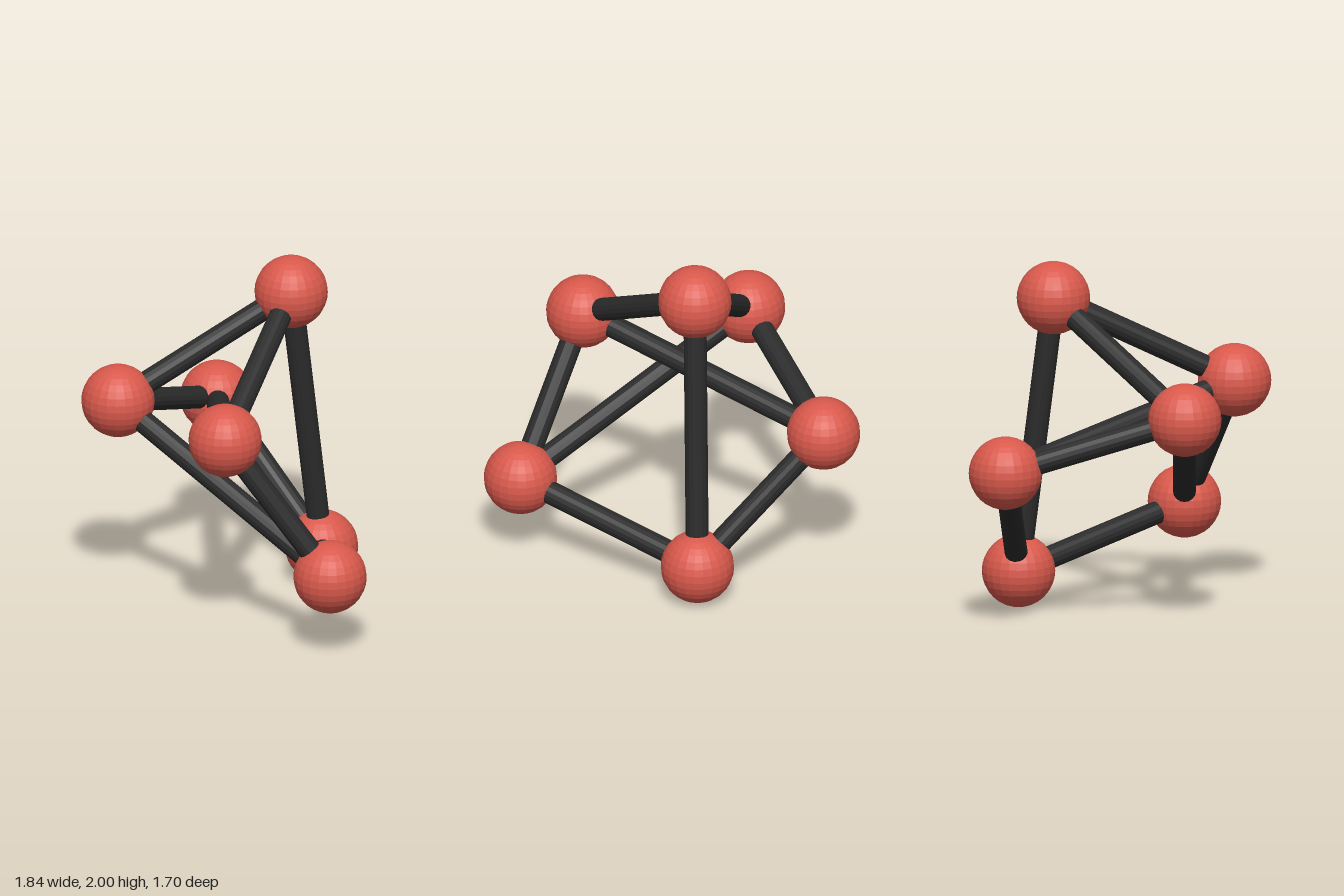
import * as THREE from 'three';

const BALL_RADIUS = 0.207;
const ROD_RADIUS = 0.065;

// Ball centres
const nodes = {
  top: [-0.037, 1.793, -0.376],
  rightFront: [-0.713, 1.232, 0.37],
  rightBack: [-0.713, 0.925, -0.64],
  front: [0.19, 1.275, 0.642],
  left: [0.708, 0.468, 0.355],
  bottom: [0.038, 0.207, -0.573],
};

// Pairs of balls joined by a rod
const links = [
  ['top', 'rightFront'], ['top', 'front'], ['top', 'bottom'],
  ['rightFront', 'rightBack'], ['rightFront', 'left'],
  ['rightBack', 'front'], ['rightBack', 'bottom'],
  ['front', 'left'], ['left', 'bottom'],
];

export function createModel() {
  const model = new THREE.Group();
  model.name = 'ballAndRodFrame';

  const red = new THREE.MeshStandardMaterial({ color: 0xd9594c, flatShading: true });
  red.name = 'coral red';
  const black = new THREE.MeshStandardMaterial({ color: 0x2b2b2b, flatShading: true });
  black.name = 'charcoal';

  // Balls
  const ballGeometry = new THREE.SphereGeometry(BALL_RADIUS, 24, 16);
  for (const [name, position] of Object.entries(nodes)) {
    const ball = new THREE.Mesh(ballGeometry, red);
    ball.name = `${name}Ball`;
    ball.position.set(...position);
    model.add(ball);
  }

  // Rods, running from centre to centre
  const up = new THREE.Vector3(0, 1, 0);
  for (const [from, to] of links) {
    const a = new THREE.Vector3(...nodes[from]);
    const b = new THREE.Vector3(...nodes[to]);
    const direction = b.clone().sub(a);
    const rod = new THREE.Mesh(
      new THREE.CylinderGeometry(ROD_RADIUS, ROD_RADIUS, direction.length(), 16), black);
    rod.name = `${from}To${to[0].toUpperCase()}${to.slice(1)}Rod`;
    rod.position.copy(a).add(b).multiplyScalar(0.5);
    rod.quaternion.setFromUnitVectors(up, direction.normalize());
    model.add(rod);
  }

  return model;
}
